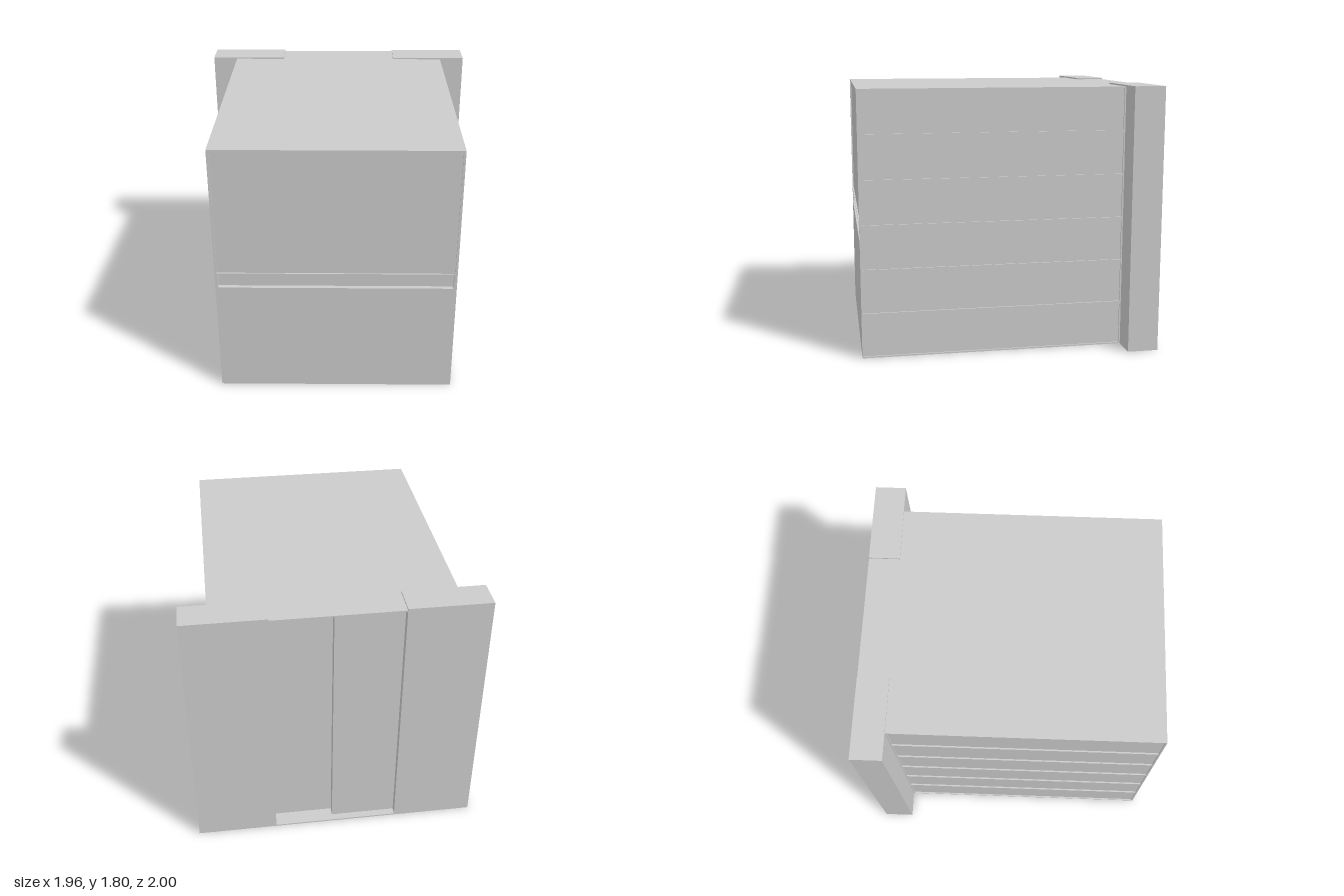
import * as THREE from 'three';

const material = new THREE.MeshStandardMaterial({ color: 0xcccccc, flatShading: true });

// Box given by its min and max corners
function block(parent, name, [x0, y0, z0], [x1, y1, z1]) {
  const mesh = new THREE.Mesh(new THREE.BoxGeometry(x1 - x0, y1 - y0, z1 - z0), material);
  mesh.position.set((x0 + x1) / 2, (y0 + y1) / 2, (z0 + z1) / 2);
  mesh.name = name;
  parent.add(mesh);
  return mesh;
}

// Rectangle outline with slightly chamfered corners
function outline(path, x0, y0, x1, y1, c) {
  path.moveTo(x0 + c, y0);
  path.lineTo(x1 - c, y0);
  path.lineTo(x1, y0 + c);
  path.lineTo(x1, y1 - c);
  path.lineTo(x1 - c, y1);
  path.lineTo(x0 + c, y1);
  path.lineTo(x0, y1 - c);
  path.lineTo(x0, y0 + c);
  path.closePath();
  return path;
}

// Flat frame with rectangular openings
function frame(rect, holes, depth) {
  const shape = new THREE.Shape();
  const [x0, y0, x1, y1] = rect;
  shape.moveTo(x0, y0);
  shape.lineTo(x1, y0);
  shape.lineTo(x1, y1);
  shape.lineTo(x0, y1);
  shape.closePath();
  for (const h of holes) shape.holes.push(outline(new THREE.Path(), ...h, 0.005));
  return new THREE.ExtrudeGeometry(shape, { depth, bevelEnabled: false });
}

export function createModel() {
  const model = new THREE.Group();
  model.name = 'cabinet';
  const H = 1.79, W = 0.8, skin = 0.01, back = -0.79;

  // Solid body behind the front and side frames
  block(model, 'body', [-W + skin, 0, back], [W - skin, H, 0.97]);

  // Front frame: wide upper panel above a narrow deeper slot
  const front = new THREE.Mesh(
    frame([-W + skin, 0, W - skin, H], [[-0.785, 0.905, 0.785, 1.78], [-0.78, 0.795, 0.78, 0.898]], 0.03),
    material);
  front.position.z = 0.97;
  front.name = 'frontFrame';
  model.add(front);
  block(model, 'upperFrontPanel', [-0.788, 0.902, 0.968], [0.788, 1.783, 0.99]);

  // Side frames with six shallow recessed panels each
  const openings = [];
  for (let i = 0; i < 6; i++) {
    const y = 0.01 + i * 0.298;
    openings.push([-0.99, y, 0.78, y + 0.28]);
  }
  const sideGeometry = frame([-1, 0, -back, H], openings, skin);
  sideGeometry.rotateY(Math.PI / 2);
  for (const s of [1, -1]) {
    const side = new THREE.Mesh(sideGeometry, material);
    side.position.x = s > 0 ? W - skin : -W;
    side.name = s > 0 ? 'leftSideFrame' : 'rightSideFrame';
    model.add(side);
  }

  // Rear posts, projecting beyond the body sides
  block(model, 'leftRearPost', [0.43, 0, -1], [0.98, 1.8, back]);
  block(model, 'rightRearPost', [-0.98, 0, -1], [-0.43, 1.8, back]);

  // Stepped sliding doors between the posts, with lintel and sill
  block(model, 'innerDoor', [0, 0.01, -0.89], [0.43, 1.78, back]);
  block(model, 'outerDoor', [-0.43, 0.01, -0.95], [0.02, 1.78, back]);
  block(model, 'lintel', [-0.43, 1.78, -1], [0.43, H, back]);
  block(model, 'sill', [-0.43, 0, -1], [0.43, 0.01, back]);

  return model;
}
